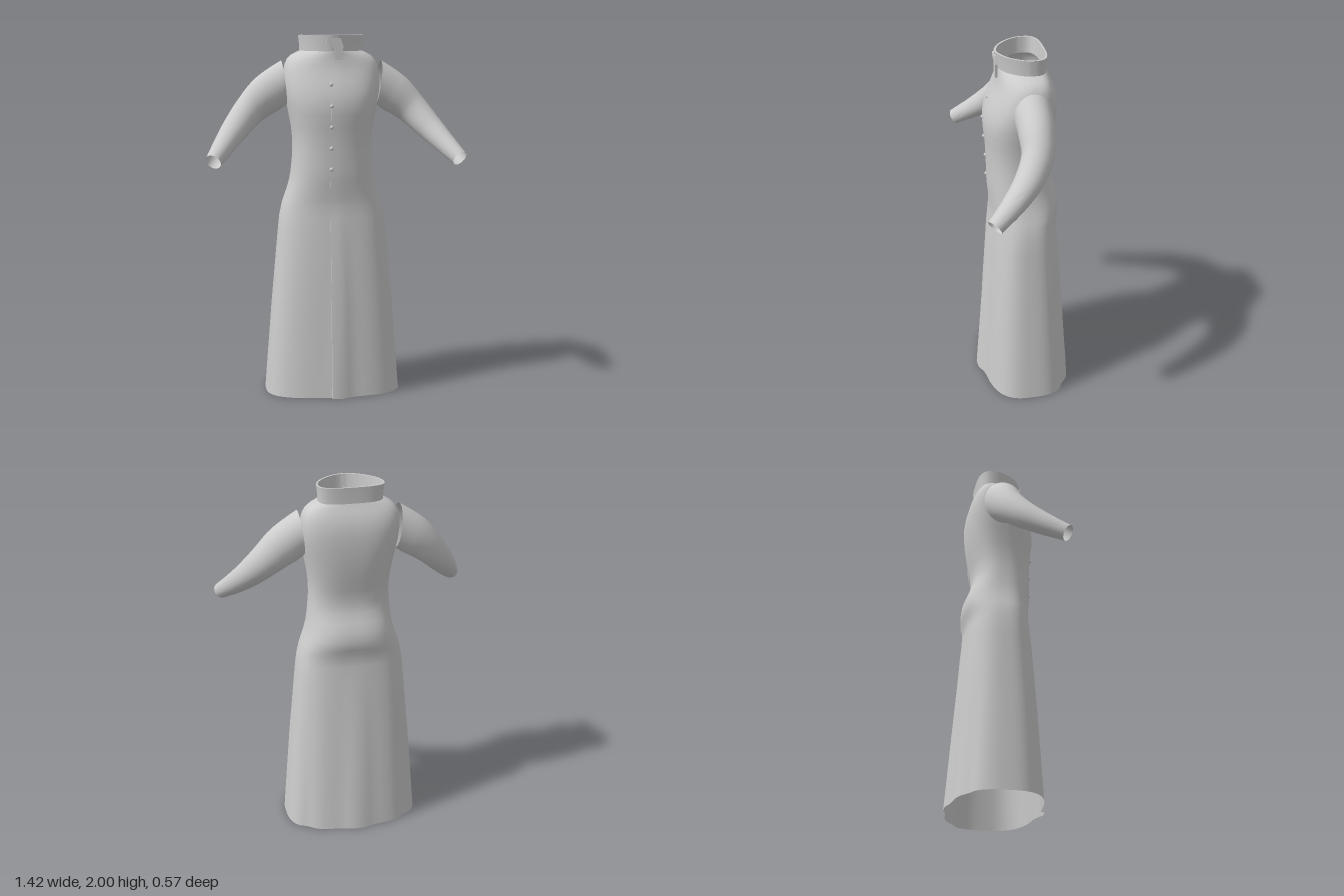
import * as THREE from 'three';
import { toCreasedNormals } from 'three/addons/utils/BufferGeometryUtils.js';

const { lerp, clamp, smoothstep } = THREE.MathUtils;
const cloth = new THREE.MeshStandardMaterial({ color: 0xcccccc, side: THREE.DoubleSide });
cloth.name = 'grey cloth';

// Skin a list of equally long point rows
function loft(rows, flip = false) {
  const n = rows[0].length, idx = [];
  for (let j = 0; j < rows.length - 1; j++) {
    for (let i = 0; i < n - 1; i++) {
      const a = j * n + i, b = a + n;
      if (flip) idx.push(a, b + 1, a + 1, a, b, b + 1);
      else idx.push(a, a + 1, b + 1, a, b + 1, b);
    }
  }
  const g = new THREE.BufferGeometry();
  g.setAttribute('position', new THREE.Float32BufferAttribute(rows.flat().flatMap((p) => [p.x, p.y, p.z]), 3));
  g.setIndex(idx);
  return toCreasedNormals(g, 0.7);
}

function part(name, geometry) {
  const m = new THREE.Mesh(geometry, cloth);
  m.name = name;
  return m;
}

const pow = (v, p) => Math.sign(v) * Math.abs(v) ** p;

// Roundness of the front and back halves by height: boxy skirt, pointed neck front, flat back
const frontPower = (y) => 0.7 + 0.1 * smoothstep(y, 0.6, 1.2) + 0.4 * clamp((y - 1.8) / 0.115, 0, 1) ** 2;
const backPower = (y) => 0.68 + 0.1 * smoothstep(y, 0.9, 1.3) - 0.15 * smoothstep(y, 1.4, 1.9);

// Point on a rounded section; t = 0 is the front, growing toward +x
function sectionPoint([y, w, zf, zb], t) {
  const s = Math.sin(t), c = Math.cos(t);
  const p = c > 0 ? frontPower(y) : backPower(y);
  const zc = -0.04 * smoothstep(y, 1.6, 1.89);
  return new THREE.Vector3(w * pow(s, p), y, zc + (c > 0 ? zf - zc : zc - zb) * pow(c, p));
}

// Coat sections: height, half width, front z, back z
const SECTIONS = [
  [0, 0.38, 0.225, -0.26],
  [0.5, 0.341, 0.199, -0.225],
  [0.9, 0.305, 0.176, -0.195],
  [1.0, 0.295, 0.168, -0.186],
  [1.07, 0.28, 0.163, -0.184],
  [1.1, 0.27, 0.165, -0.197],
  [1.15, 0.252, 0.168, -0.2],
  [1.2, 0.238, 0.174, -0.193],
  [1.25, 0.23, 0.177, -0.172],
  [1.3, 0.225, 0.178, -0.151],
  [1.36, 0.22, 0.179, -0.142],
  [1.43, 0.22, 0.181, -0.151],
  [1.5, 0.227, 0.186, -0.165],
  [1.57, 0.24, 0.194, -0.174],
  [1.63, 0.251, 0.194, -0.18],
  [1.69, 0.262, 0.181, -0.182],
  [1.75, 0.266, 0.16, -0.181],
  [1.8, 0.264, 0.138, -0.174],
  [1.84, 0.257, 0.127, -0.162],
  [1.87, 0.243, 0.122, -0.148],
  [1.89, 0.222, 0.12, -0.137],
  [1.905, 0.195, 0.12, -0.13],
  [1.915, 0.172, 0.12, -0.125],
];
const SEAM = -0.03;

// Coat body: one wrap that starts and ends at the front seam, the leading edge lying on top
function coatRow(sec) {
  const [y, w] = sec, N = 112, row = [];
  const t0 = Math.asin(pow(SEAM / w, 1 / frontPower(y)));
  const fold = Math.max(0, 1 - y / 1.07);
  for (let i = 0; i <= N; i++) {
    const t = t0 + (i / N) * Math.PI * 2;
    const p = sectionPoint(sec, t);
    const ridge = Math.exp(-((p.x / 0.065) ** 2));
    if (Math.cos(t) < 0) {
      const flute = Math.exp(-(((Math.abs(p.x) - 0.29) / 0.04) ** 2));
      p.z += fold * (0.018 * flute - 0.026 * ridge);
    } else if (i < N / 2) {
      p.z += (0.035 * fold + 0.004) * ridge;
    } else {
      p.z += 0.008 * fold * ridge;
    }
    row.push(p);
  }
  // turned-in edge along the opening
  row.unshift(row[N].clone());
  return row;
}

function frontZ(y) {
  const k = SECTIONS.findIndex((s) => s[0] > y), a = SECTIONS[k - 1], b = SECTIONS[k];
  return lerp(a[2], b[2], (y - a[0]) / (b[0] - a[0]));
}

// Standing collar: outer face up, then over the rim and down inside
function collarGeometry() {
  const sections = [
    [1.912, 0.174, 0.123, -0.127],
    [1.955, 0.176, 0.128, -0.128],
    [2.0, 0.181, 0.135, -0.131],
    [2.0, 0.171, 0.123, -0.122],
    [1.912, 0.164, 0.112, -0.117],
  ];
  return loft(sections.map((s) => Array.from({ length: 73 }, (_, i) => sectionPoint(s, (i / 72) * Math.PI * 2))));
}

// Sleeve: tapered tube from armhole to open cuff
function sleeveGeometry(side) {
  const path = new THREE.CatmullRomCurve3([
    [0.265, 1.74, -0.02], [0.36, 1.675, -0.02], [0.45, 1.595, -0.005],
    [0.53, 1.505, 0.055], [0.6, 1.42, 0.145], [0.67, 1.335, 0.257],
  ].map((p) => new THREE.Vector3(...p)));
  const high = [0.122, 0.11, 0.09, 0.075, 0.06, 0.044];
  const deep = [0.1, 0.095, 0.084, 0.076, 0.062, 0.044];
  const at = (list, f) => {
    const k = Math.min(4, Math.floor(f * 5));
    return lerp(list[k], list[k + 1], f * 5 - k);
  };
  const rows = [];
  for (let j = 0; j <= 25; j++) {
    const f = j / 25, c = path.getPoint(f);
    // the armhole end is cut nearly upright
    const T = path.getTangent(f).lerp(new THREE.Vector3(1, -0.12, 0), Math.max(0, 1 - f / 0.25)).normalize();
    const u = new THREE.Vector3(0, 1, 0).addScaledVector(T, -T.y).normalize();
    const v = new THREE.Vector3().crossVectors(T, u);
    rows.push(Array.from({ length: 33 }, (_, i) => {
      const a = (i / 32) * Math.PI * 2;
      const p = c.clone().addScaledVector(u, Math.cos(a) * at(high, f)).addScaledVector(v, Math.sin(a) * at(deep, f));
      p.x *= side;
      return p;
    }));
  }
  return loft(rows, side < 0);
}

export function createModel() {
  const coat = new THREE.Group();
  coat.name = 'longCoat';
  coat.add(part('coatBody', loft(SECTIONS.map(coatRow))));
  coat.add(part('collar', collarGeometry()));
  coat.add(part('leftSleeve', sleeveGeometry(1)), part('rightSleeve', sleeveGeometry(-1)));

  // Collar closing tab
  const tab = new THREE.Shape([
    [-0.045, 1.955], [-0.008, 1.945], [0, 1.865], [0.038, 1.865], [0.045, 1.94], [0.03, 1.982], [-0.045, 1.982],
  ].map((p) => new THREE.Vector2(...p)));
  const tabMesh = part('collarTab', new THREE.ExtrudeGeometry(tab, { depth: 0.012, bevelEnabled: false }));
  tabMesh.position.z = 0.124;
  coat.add(tabMesh);

  // Buttons down the seam
  const buttonGeometry = new THREE.SphereGeometry(0.011, 14, 10);
  for (let i = 0; i < 5; i++) {
    const y = 1.735 - i * 0.115;
    const b = part('button', buttonGeometry);
    b.position.set(-0.026, y, frontZ(y) + 0.002);
    coat.add(b);
  }
  return coat;
}
